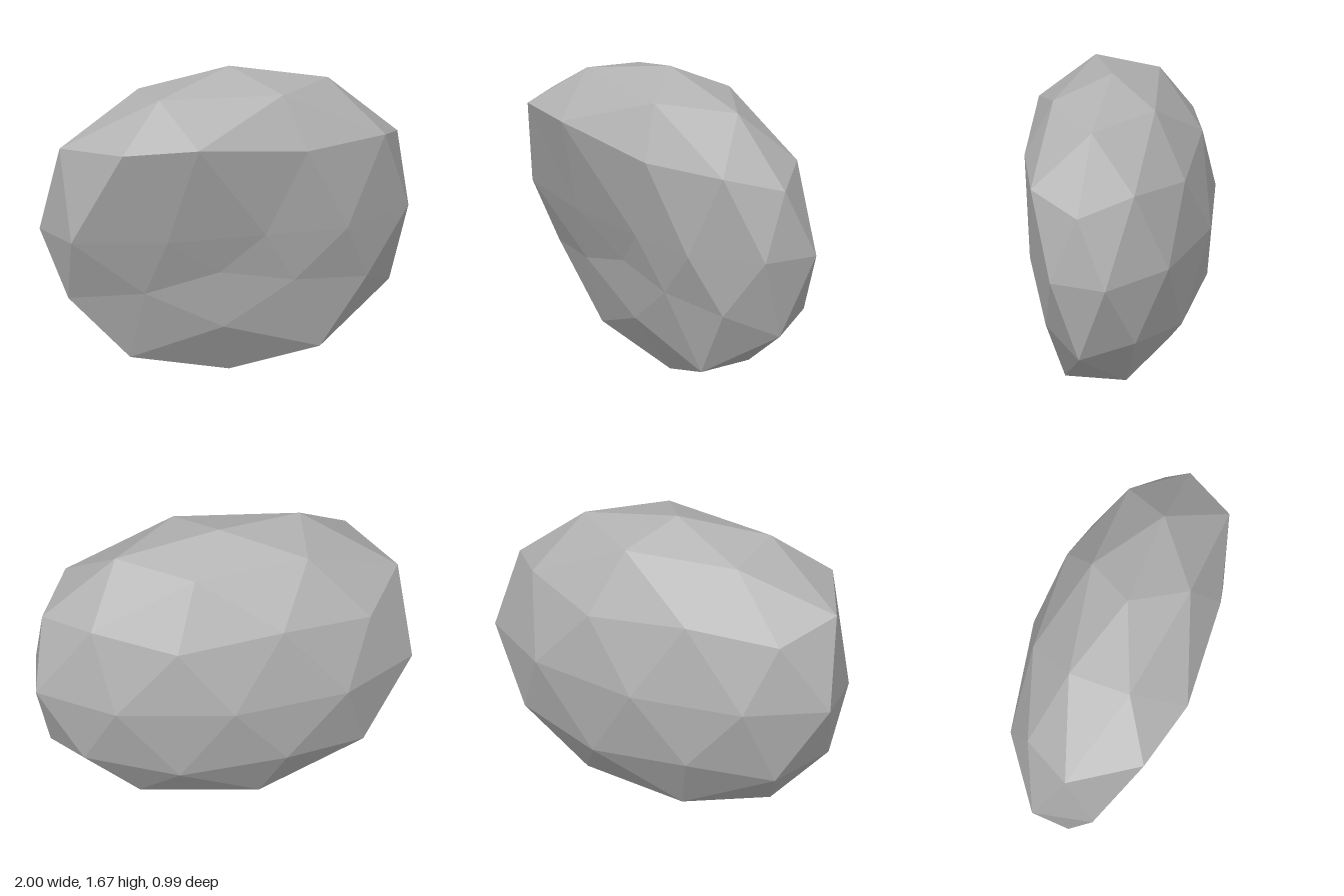
import * as THREE from 'three';

const stone = new THREE.MeshStandardMaterial({ color: 0xb2b2b2, flatShading: true });
stone.name = 'grey stone';

// Chipped front corners: unit height x 100, angle from +x towards +z, moved position
const chips = [
  [85, 72, 0.2, 1.57, 0.305], [85, 144, -0.46, 1.585, 0.21],
  [53, 36, 0.77, 1.29, 0.31], [53, 108, -0.34, 1.375, 0.49], [53, 180, -0.95, 1.32, 0.03],
  [45, 72, 0.29, 1.29, 0.44], [45, 144, -0.73, 1.36, 0.39],
  [0, 18, 0.95, 0.84, 0.17], [0, 54, 0.54, 0.815, 0.36], [0, 90, 0.09, 0.82, 0.34],
  [0, 126, -0.44, 0.82, 0.29], [0, 162, -0.94, 0.84, 0.18],
  [-45, 36, 0.69, 0.5, 0.245], [-45, 108, -0.13, 0.61, 0.24], [-45, 180, -0.9, 0.49, 0.03],
  [-53, 72, 0.27, 0.54, 0.29], [-53, 144, -0.52, 0.51, 0.16],
  [-85, 108, -0.09, 0.29, 0.19],
];

// Icosahedron standing on a corner, each edge split once and pushed to a sphere
function uprightIcosphere() {
  const points = [0, 1, 0, 0, -1, 0];
  const faces = [];
  const h = 1 / Math.sqrt(5), r = 2 * h;
  for (let k = 0; k < 5; k++) {
    const a = (k * 2 * Math.PI) / 5, b = a + Math.PI / 5;
    points.push(r * Math.cos(a), h, r * Math.sin(a), r * Math.cos(b), -h, r * Math.sin(b));
    const n = (k + 1) % 5;
    const u = 2 + 2 * k, l = u + 1, u2 = 2 + 2 * n, l2 = u2 + 1;
    faces.push(0, u2, u, u, u2, l, l, u2, l2, l, l2, 1);
  }
  return new THREE.PolyhedronGeometry(points, faces, 1, 1);
}

export function createModel() {
  const group = new THREE.Group();
  group.name = 'rock';

  const moved = new Map(chips.map(([h, a, ...p]) => [`${h},${a}`, p]));
  const geometry = uprightIcosphere();
  const pos = geometry.attributes.position;
  for (let i = 0; i < pos.count; i++) {
    const x = pos.getX(i), y = pos.getY(i), z = pos.getZ(i);
    const angle = Math.round(THREE.MathUtils.radToDeg(Math.atan2(z, x)) + 360) % 360;
    const chip = moved.get(`${Math.round(y * 100)},${angle}`);
    // Squash the ball into a flattened boulder, except where it is chipped
    const p = chip ?? [1.0515 * x, 0.835 + 0.835 * y, 0.027 + 0.526 * z];
    pos.setXYZ(i, ...p);
  }
  geometry.computeVertexNormals();

  const boulder = new THREE.Mesh(geometry, stone);
  boulder.name = 'boulder';
  group.add(boulder);
  return group;
}
